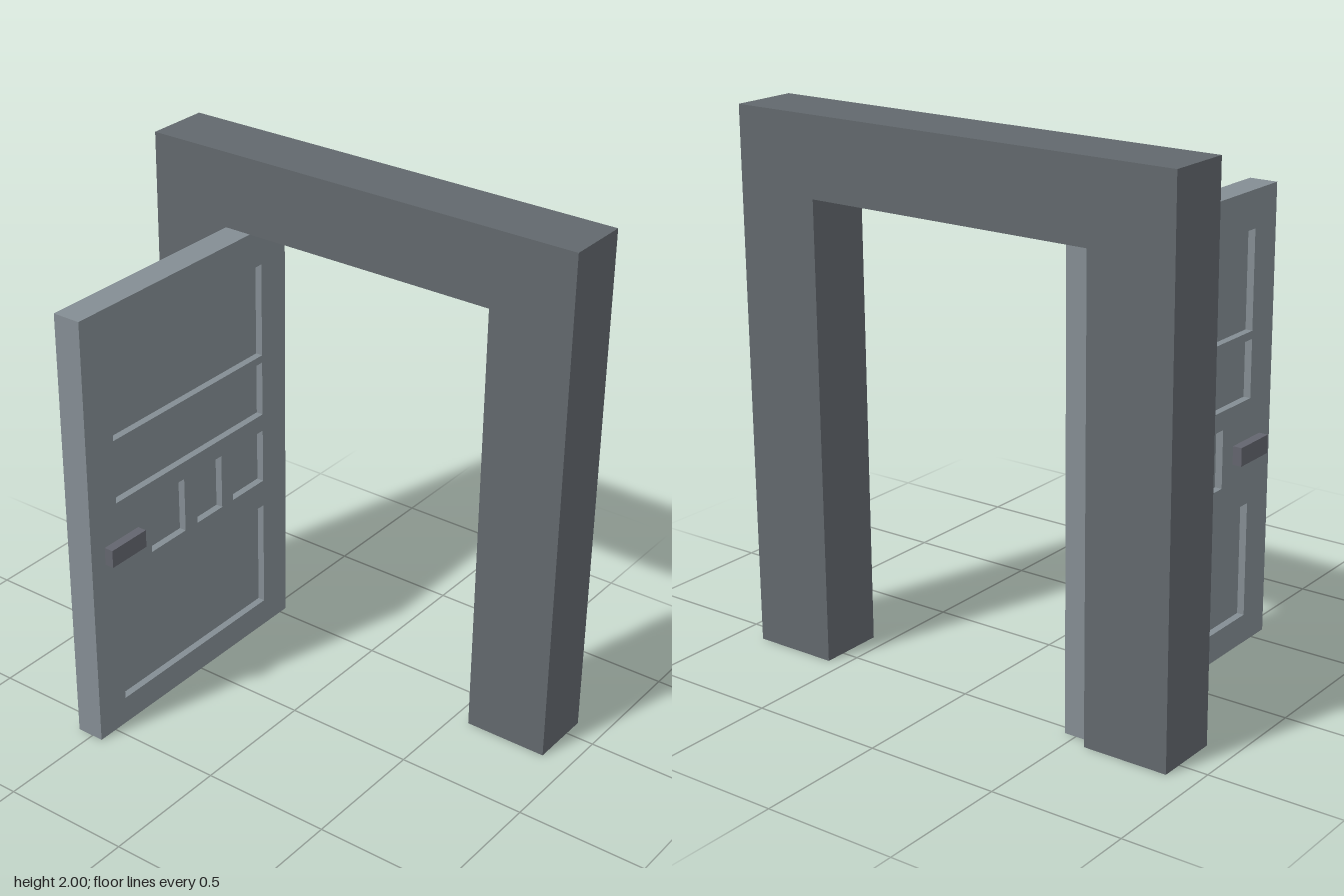
import * as THREE from 'three';

const mat = (name, color) => {
  const m = new THREE.MeshStandardMaterial({ color });
  m.name = name;
  return m;
};

export function createModel() {
  const frameGrey = mat('frameGrey', 0x62686d);
  const doorGrey = mat('doorGrey', 0x848d93);
  const handleGrey = mat('handleGrey', 0x63656e);
  const model = new THREE.Group();
  model.name = 'openDoorway';

  const add = (parent, name, geometry, material, x = 0, y = 0, z = 0) => {
    const mesh = new THREE.Mesh(geometry, material);
    mesh.name = name;
    mesh.position.set(x, y, z);
    parent.add(mesh);
    return mesh;
  };

  // Door frame: two posts and a lintel in one piece
  const W = 0.89, IN = 0.565, TOP = 2, OPEN = 1.71;
  const arch = new THREE.Shape([
    [-W, 0], [-IN, 0], [-IN, OPEN], [IN, OPEN], [IN, 0], [W, 0], [W, TOP], [-W, TOP],
  ].map(([x, y]) => new THREE.Vector2(x, y)));
  add(model, 'doorFrame', new THREE.ExtrudeGeometry(arch, { depth: 0.25, bevelEnabled: false }),
    frameGrey, 0, 0, -0.58);

  // Door leaf, swung open: outline and openings are given in z and y
  const door = new THREE.Group();
  door.name = 'door';
  model.add(door);
  const THICK = 0.11, RECESS = 0.028, MID = -0.51;
  const rect = (Type, z0, z1, y0, y1) => new Type([
    [z0, y0], [z1, y0], [z1, y1], [z0, y1],
  ].map(([z, y]) => new THREE.Vector2(z, y)));
  const panels = [
    [-0.395, 0.44, 1.2, 1.57],
    [-0.395, 0.44, 0.95, 1.17],
    [0.07, 0.26, 0.66, 0.88],
    [-0.145, 0.0, 0.66, 0.88],
    [-0.395, -0.21, 0.66, 0.88],
    [-0.395, 0.44, 0.11, 0.55],
  ];
  const leaf = rect(THREE.Shape, -0.535, 0.58, 0, OPEN);
  leaf.holes = panels.map((p) => rect(THREE.Path, ...p));
  const leafGeometry = new THREE.ExtrudeGeometry(leaf, { depth: THICK, bevelEnabled: false });
  leafGeometry.rotateY(-Math.PI / 2);
  add(door, 'doorLeaf', leafGeometry, doorGrey, MID + THICK / 2);

  // Recessed panels, sunk on both faces
  panels.forEach(([z0, z1, y0, y1], i) => add(door, `recessedPanel${i + 1}`,
    new THREE.BoxGeometry(THICK - 2 * RECESS, y1 - y0, z1 - z0), doorGrey,
    MID, (y0 + y1) / 2, (z0 + z1) / 2));

  // A block handle on each face
  for (const side of [-1, 1]) {
    add(door, side > 0 ? 'leftHandle' : 'rightHandle', new THREE.BoxGeometry(0.036, 0.07, 0.18),
      handleGrey, MID + side * (THICK / 2 + 0.018), 0.765, 0.42);
  }
  return model;
}
